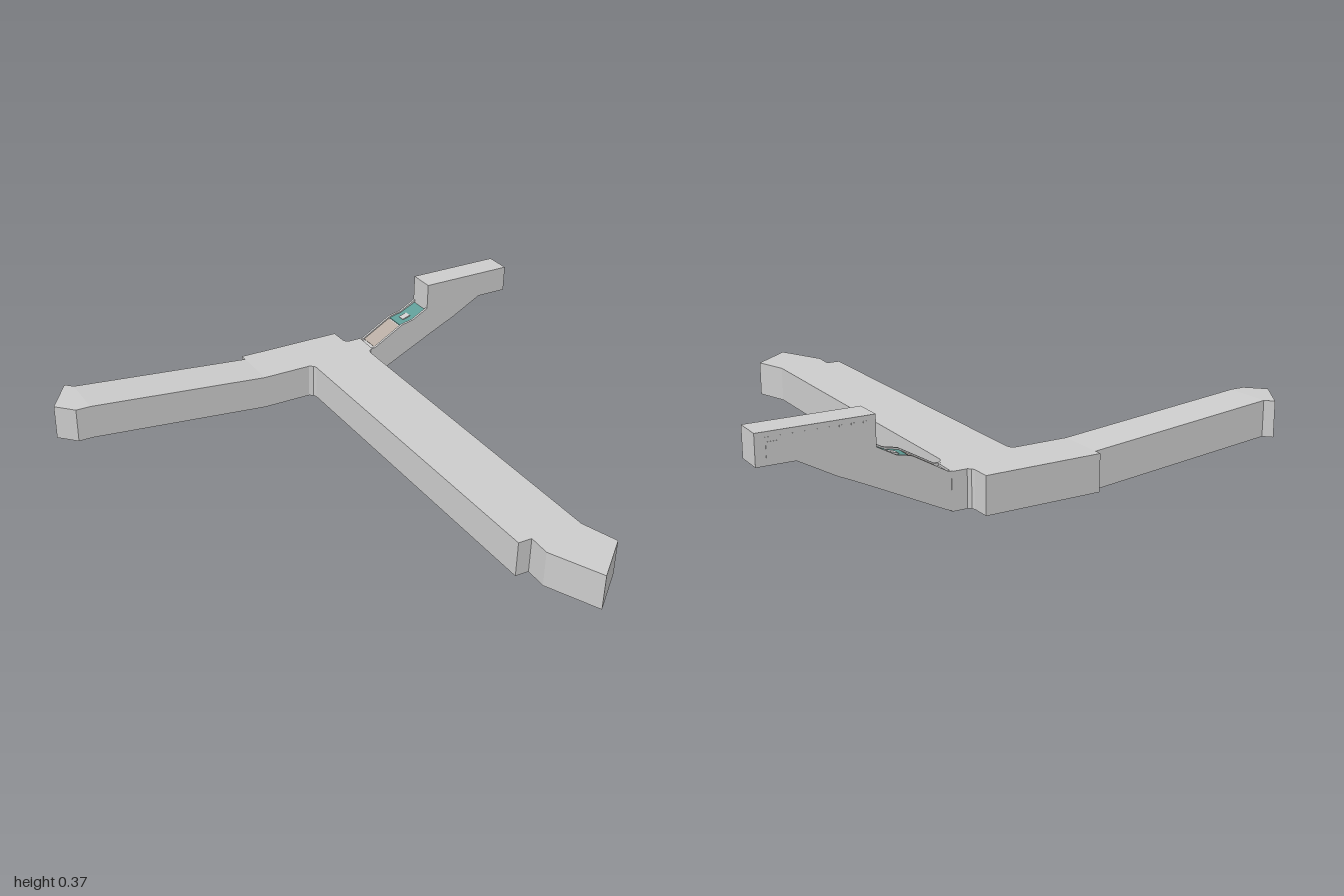
import * as THREE from 'three';

const grey = new THREE.MeshStandardMaterial({ color: 0xcccccc, flatShading: true });
const teal = new THREE.MeshStandardMaterial({ color: 0x5f9c96 });
const tan = new THREE.MeshStandardMaterial({ color: 0xb8aca2 });

const HEIGHT = 0.138, RISE = 0.07;      // corridor height, lift of the ramp end
const RAMP_START = 0.04, RAMP_END = -0.705;
const ARM_BACK = -0.572, ARM_FRONT = -0.465;

const shapeOf = (pts) => new THREE.Shape(pts.map(([x, y]) => new THREE.Vector2(x, y)));

// Plan outline (x, z) raised to corridor height
function corridor(name, pts) {
  const geo = new THREE.ExtrudeGeometry(shapeOf(pts.map(([x, z]) => [x, -z])),
    { depth: HEIGHT, bevelEnabled: false });
  geo.rotateX(-Math.PI / 2);
  // lift everything beyond the ramp start
  const p = geo.attributes.position;
  for (let i = 0; i < p.count; i++) {
    const t = THREE.MathUtils.clamp((RAMP_START - p.getX(i)) / (RAMP_START - RAMP_END), 0, 1);
    p.setY(i, p.getY(i) + t * RISE);
  }
  geo.computeVertexNormals();
  const mesh = new THREE.Mesh(geo, grey);
  mesh.name = name;
  return mesh;
}

// Side profile (x, y) extruded between two z values
function profile(name, pts, z0, z1, material = grey) {
  const geo = new THREE.ExtrudeGeometry(shapeOf(pts), { depth: z1 - z0, bevelEnabled: false });
  geo.translate(0, 0, z0);
  const mesh = new THREE.Mesh(geo, material);
  mesh.name = name;
  return mesh;
}

// Thin slab lying along a sloping line a-b
function slab(name, a, b, z0, z1, thickness, material) {
  const [dx, dy] = [b[0] - a[0], b[1] - a[1]];
  const mesh = new THREE.Mesh(new THREE.BoxGeometry(Math.hypot(dx, dy), thickness, z1 - z0), material);
  mesh.position.set((a[0] + b[0]) / 2, (a[1] + b[1]) / 2, (z0 + z1) / 2);
  mesh.rotation.z = Math.atan2(dy, dx);
  mesh.name = name;
  return mesh;
}

function stairArm() {
  const arm = new THREE.Group();
  arm.name = 'stairArm';
  const wall = 0.01, inB = ARM_BACK + wall, inF = ARM_FRONT - wall;

  // side walls of the sloping passage
  const side = [[0.545, 0.0], [0.575, 0.008], [0.846, 0.14], [0.922, 0.176], [0.954, 0.19], [1.09, 0.265],
    [0.824, 0.265], [0.755, 0.227], [0.70, 0.215], [0.57, 0.14], [0.545, 0.138]];
  arm.add(profile('backStairWall', side, ARM_BACK, inB));
  arm.add(profile('frontStairWall', side, inF, ARM_FRONT));

  // recessed passage between the walls
  arm.add(profile('stairPassage', [[0.545, 0.006], [0.575, 0.018], [1.07, 0.265], [0.824, 0.25],
    [0.755, 0.217], [0.70, 0.205], [0.57, 0.13], [0.545, 0.13]], inB, inF));

  // upper room
  arm.add(profile('upperRoom', [[0.824, 0.25], [1.09, 0.265], [1.22, 0.265], [1.22, 0.372], [0.824, 0.372]],
    ARM_BACK, ARM_FRONT));

  // roof panels
  arm.add(slab('lowerRoofPanel', [0.575, 0.134], [0.695, 0.203], inB, inF, 0.006, tan));
  arm.add(slab('middleRoofPanel', [0.70, 0.206], [0.755, 0.218], inB, inF, 0.006, teal));
  arm.add(slab('upperRoofPanel', [0.755, 0.218], [0.824, 0.251], inB, inF, 0.006, teal));
  arm.add(slab('roofHatch', [0.73, 0.215], [0.765, 0.226], -0.535, -0.505, 0.008, grey));

  // underside panels separated by crossbars
  const at = (t) => [0.58 + 0.5 * t, 0.018 + 0.247 * t];
  for (let i = 0; i < 3; i++) {
    arm.add(slab('undersidePanel', at(i / 3 + 0.02), at((i + 1) / 3 - 0.02), inB, inF, 0.006, teal));
    if (i) arm.add(slab('undersideCrossbar', at(i / 3 - 0.015), at(i / 3 + 0.015), inB, inF, 0.014, grey));
  }

  // small vents and a door on the back of the upper room
  for (let i = 0; i < 9; i++) {
    const vent = new THREE.Mesh(new THREE.BoxGeometry(0.014, 0.006, 0.002), grey);
    vent.position.set(0.86 + i * 0.04, 0.352, ARM_BACK);
    vent.name = 'vent';
    arm.add(vent);
  }
  const door = new THREE.Mesh(new THREE.BoxGeometry(0.04, 0.05, 0.003), grey);
  door.position.set(1.165, 0.315, ARM_BACK);
  door.name = 'sideDoor';
  arm.add(door);
  return arm;
}

export function createModel() {
  const model = new THREE.Group();
  model.name = 'corridorJunction';

  // junction with the long level corridor
  model.add(corridor('mainCorridor', [
    [0.531, -0.439], [0.522, 0.978], [0.567, 1.116], [0.408, 1.25], [0.316, 1.055], [0.32, 0.969],
    [0.266, 0.968], [0.267, -0.43], [0.262, -0.446], [0.245, -0.456], [RAMP_START, -0.456],
    [RAMP_START, -0.666], [0.485, -0.665], [0.486, -0.594], [0.491, -0.582], [0.503, -0.574],
    [0.56, -0.573], [0.556, -0.466], [0.54, -0.458],
  ]));

  // rising corridor and its raised end
  model.add(corridor('rampCorridor', [
    [RAMP_START, -0.456], [RAMP_END, -0.456], [RAMP_END, -0.637], [RAMP_START, -0.637],
  ]));
  model.add(corridor('rampEnd', [
    [RAMP_END, -0.456], [-0.763, -0.456], [-0.828, -0.521], [-0.734, -0.666], [RAMP_END, -0.637],
  ]));

  model.add(stairArm());

  // the whole plan is turned about the vertical
  model.rotation.y = 0.3975;
  const root = new THREE.Group();
  root.name = 'corridors';
  root.add(model);
  return root;
}
